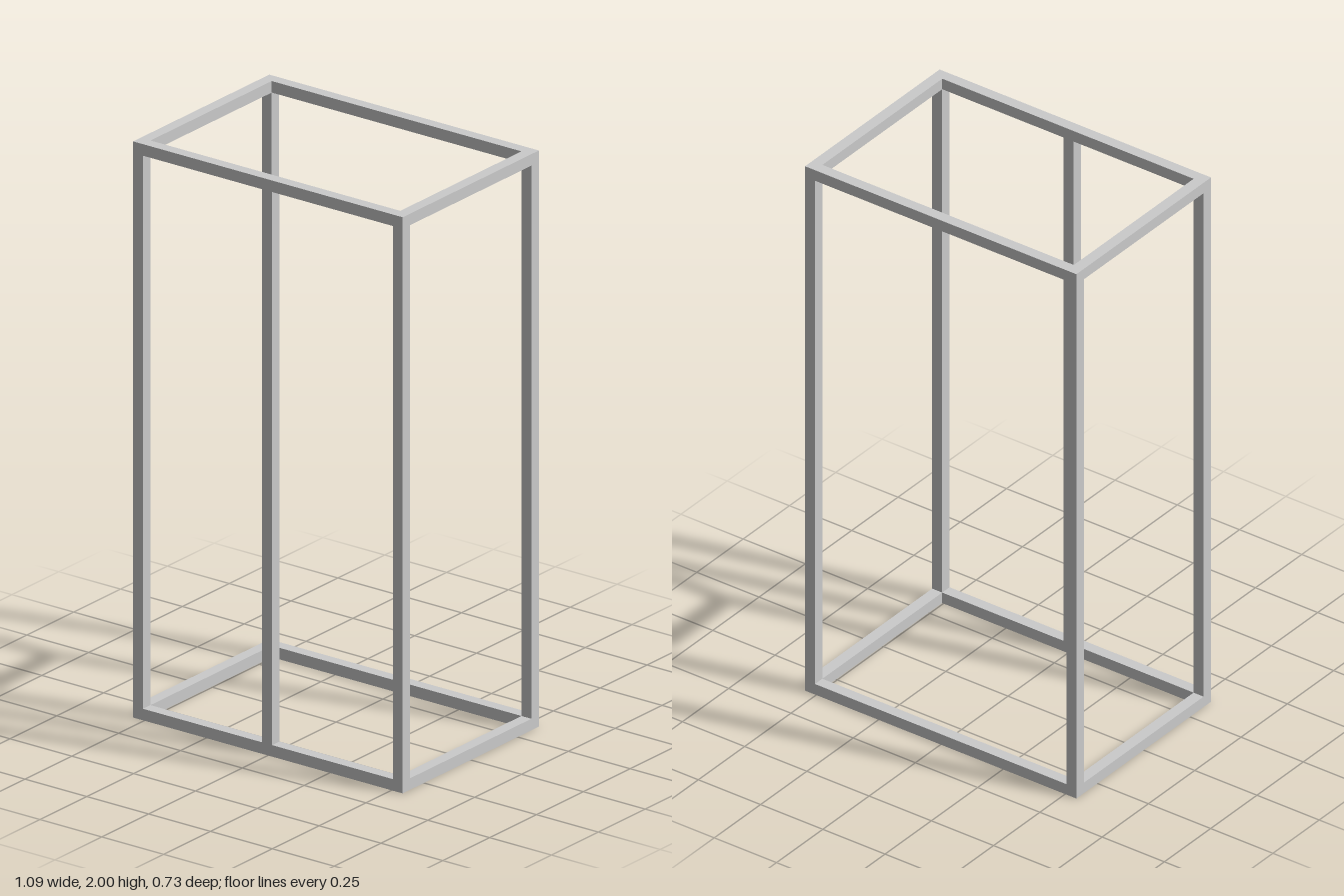
import * as THREE from 'three';

const W = 1.09, H = 2, D = 0.727, T = 0.04; // overall size and bar thickness

export function createModel() {
  const model = new THREE.Group();
  model.name = 'openFrame';
  const material = new THREE.MeshStandardMaterial({ color: 0xcccccc, flatShading: true });

  function bar(name, size, position) {
    const mesh = new THREE.Mesh(new THREE.BoxGeometry(...size), material);
    mesh.name = name;
    mesh.position.set(...position);
    model.add(mesh);
  }

  const x = (W - T) / 2, z = (D - T) / 2;

  // Corner posts, full height
  for (const [sx, side] of [[1, 'Left'], [-1, 'Right']]) {
    for (const [sz, end] of [[1, 'front'], [-1, 'back']]) {
      bar(`${end}${side}Post`, [T, H, T], [sx * x, H / 2, sz * z]);
    }
  }

  // Bottom and top rails, fitted between the posts
  for (const [y, level] of [[T / 2, 'bottom'], [H - T / 2, 'top']]) {
    for (const s of [1, -1]) {
      bar(`${level}${s > 0 ? 'Front' : 'Back'}Rail`, [W - 2 * T, T, T], [0, y, s * z]);
      bar(`${level}${s > 0 ? 'Left' : 'Right'}Rail`, [T, T, D - 2 * T], [s * x, y, 0]);
    }
  }

  // Centre post, on the front only
  bar('frontCentrePost', [T, H - 2 * T, T], [-0.003, H / 2, z]);

  return model;
}
